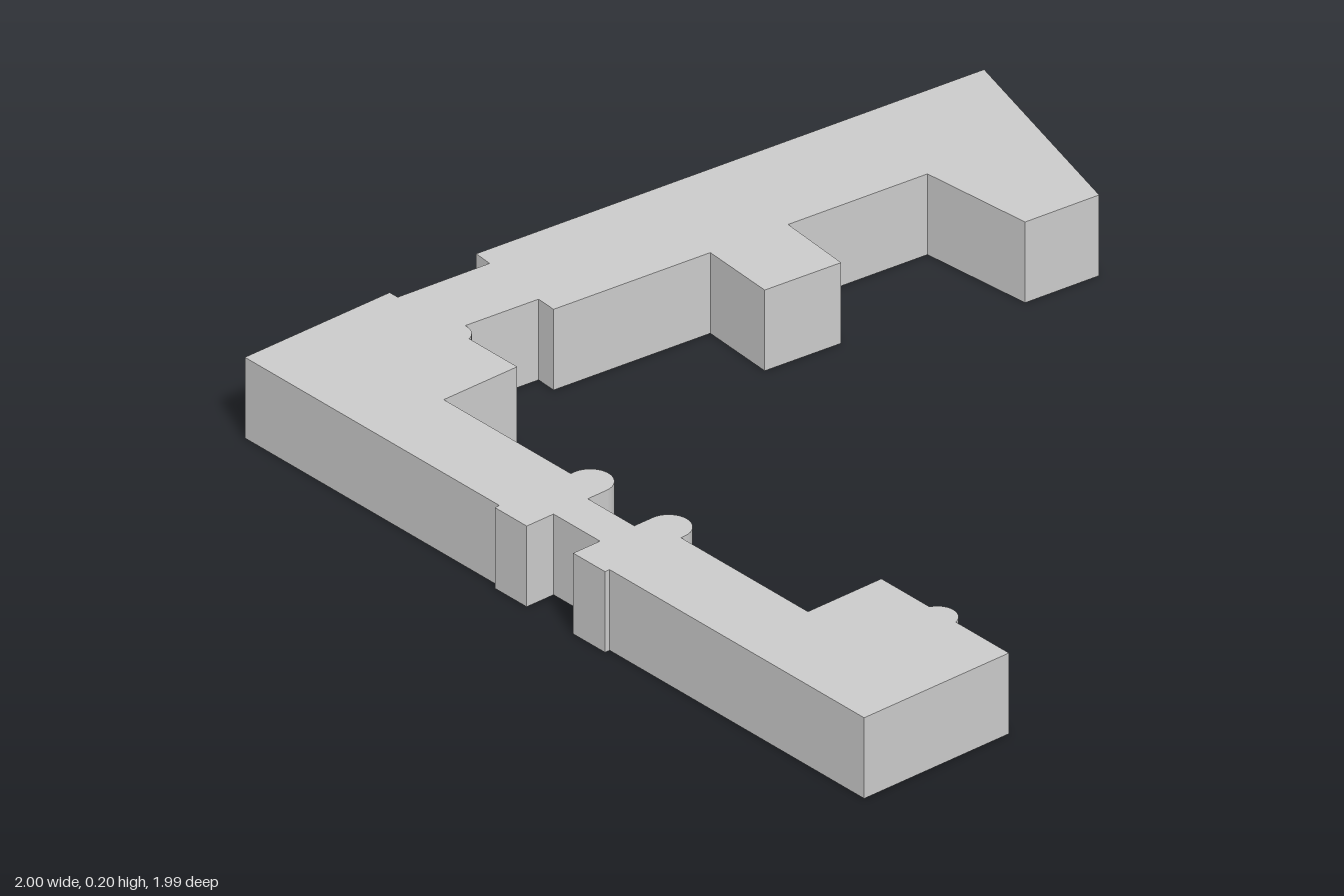
import * as THREE from 'three';
import { toCreasedNormals } from 'three/addons/utils/BufferGeometryUtils.js';

const HEIGHT = 0.2;

export function createModel() {
  const group = new THREE.Group();
  group.name = 'courtyardBuilding';

  // Floor plan, drawn counterclockwise from above in (x, z)
  const plan = new THREE.Shape();
  const path = (points) => points.forEach(([x, z]) => plan.lineTo(x, -z));
  const round = (x, z, r, from, to) => plan.absarc(x, -z, r, from, to, false);

  // Front facade with the recessed gate between two shallow piers
  plan.moveTo(-1, -0.98);
  path([
    [-0.178, 0.98], [-0.178, 0.993], [-0.075, 0.993], [-0.075, 0.917],
    [0.075, 0.917], [0.075, 0.993], [0.178, 0.993], [0.178, 0.98], [1, 0.98],
  ]);

  // Left pavilion with its round stair bump at the back
  path([[1, 0.57]]);
  round(0.786, 0.585, 0.045, 0.34, Math.PI - 0.34);
  path([[0.588, 0.57], [0.588, 0.778], [0.178, 0.778]]);

  // Pair of round turrets behind the gate
  round(0.1265, 0.768, 0.0515, 0, Math.PI);
  path([[0.075, 0.82], [-0.075, 0.82]]);
  round(-0.1265, 0.768, 0.0515, 0, Math.PI);

  // Right pavilion, its bump running into the slanted wing
  path([[-0.178, 0.778], [-0.588, 0.778], [-0.588, 0.57]]);
  round(-0.786, 0.585, 0.045, 0.34, 1.66);

  // Inner side of the slanted wing with two projecting blocks
  path([
    [-0.77, 0.35], [-0.717, 0.354], [-0.675, -0.053], [-0.481, -0.037],
    [-0.46, -0.235], [-0.654, -0.255], [-0.617, -0.617], [-0.329, -0.641],
    [-0.31, -0.834],
  ]);

  // Outer side of the wing, back to the front corner
  path([[-0.865, -0.995], [-1, 0.325], [-0.951, 0.33], [-0.974, 0.57], [-1, 0.57]]);
  plan.closePath();

  // Raise the plan to a flat-roofed block
  const solid = new THREE.ExtrudeGeometry(plan, {
    depth: HEIGHT, bevelEnabled: false, curveSegments: 16,
  });
  solid.rotateX(-Math.PI / 2);

  const building = new THREE.Mesh(
    toCreasedNormals(solid, Math.PI / 6),
    new THREE.MeshStandardMaterial({ color: 0xcccccc }),
  );
  building.name = 'buildingBlock';
  group.add(building);
  return group;
}
